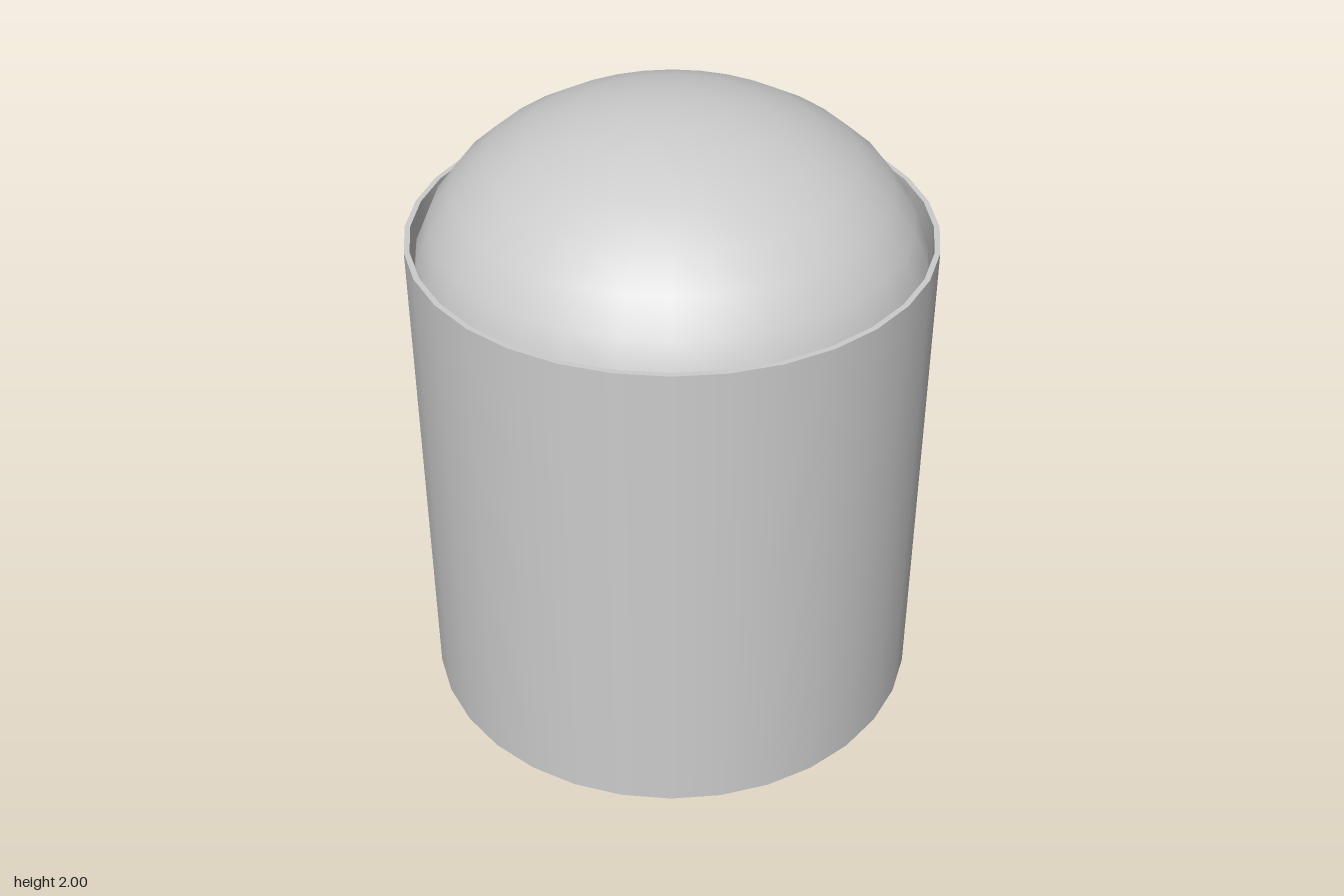
import * as THREE from 'three';

const SIDES = 32;
const OUTER = 0.667, INNER = 0.653;
const BOTTOM = 0.333, TOP = 1.667, MID = 1;
const DOME_HEIGHT = 0.46;

export function createModel() {
  const model = new THREE.Group();
  const solid = new THREE.MeshStandardMaterial({ color: 0xcccccc });
  const inside = new THREE.MeshStandardMaterial({ color: 0xcccccc, side: THREE.BackSide });

  const add = (name, geometry, material, y) => {
    const mesh = new THREE.Mesh(geometry, material);
    mesh.name = name;
    mesh.position.y = y;
    model.add(mesh);
    return mesh;
  };

  // Thin-walled tube: outer wall and inner wall
  const wall = (r) => new THREE.CylinderGeometry(r, r, TOP - BOTTOM, SIDES, 1, true);
  add('tubeOuterWall', wall(OUTER), solid, MID);
  add('tubeInnerWall', wall(INNER), inside, MID);

  // Each end: a flat rim closing the wall and a flattened dome sunk into the tube
  for (const [end, s] of [['top', 1], ['bottom', -1]]) {
    const rim = new THREE.RingGeometry(INNER, OUTER, SIDES).rotateX(-s * Math.PI / 2);
    add(end + 'Rim', rim, solid, s > 0 ? TOP : BOTTOM);

    const dome = new THREE.SphereGeometry(INNER, SIDES, 8, 0, Math.PI * 2, 0, Math.PI / 2);
    dome.scale(1, DOME_HEIGHT / INNER, 1);
    if (s < 0) dome.rotateX(Math.PI);
    add(end + 'Dome', dome, solid, MID + s * (1 - DOME_HEIGHT));
  }
  return model;
}
